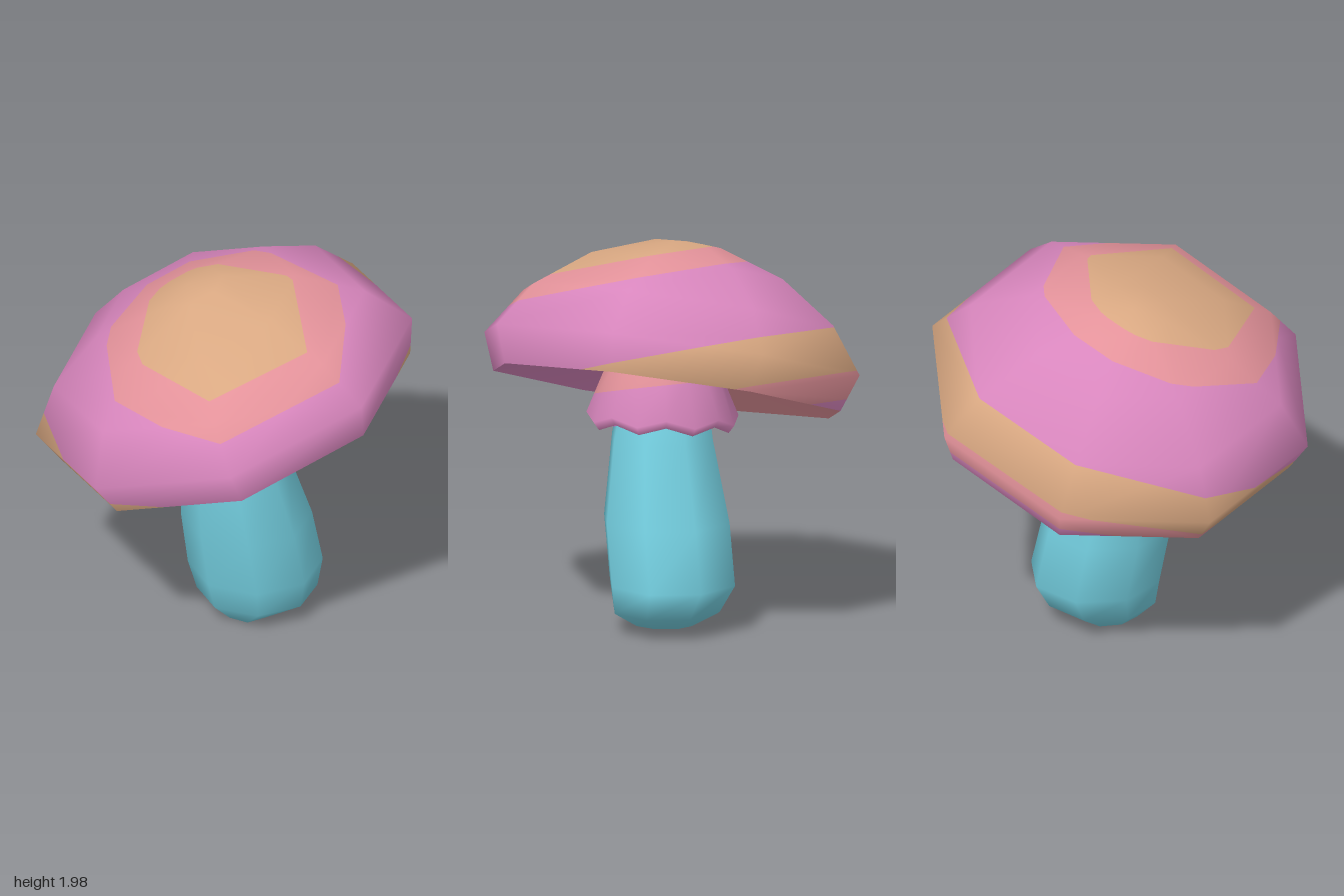
import * as THREE from 'three';
import { mergeVertices } from 'three/addons/utils/BufferGeometryUtils.js';

const flat = (name, color) => {
  const m = new THREE.MeshStandardMaterial({ color, side: THREE.DoubleSide });
  m.name = name;
  return m;
};

// One ring of points; y may vary with the angle
function ring(n, start, cx, cy, cz, rx, rz = rx) {
  return Array.from({ length: n }, (_, i) => {
    const a = start + (i / n) * Math.PI * 2;
    return new THREE.Vector3(cx + rx * Math.cos(a), cy, cz + rz * Math.sin(a));
  });
}

// Smooth skin over rings, outward when the rings run from bottom to top
function loft(rings) {
  const n = rings[0].length;
  const pos = rings.flat().flatMap((p) => [p.x, p.y, p.z]);
  const index = [];
  for (let r = 0; r < rings.length - 1; r++) {
    for (let i = 0; i < n; i++) {
      const a = r * n + i, b = r * n + ((i + 1) % n);
      index.push(a, a + n, b, b, a + n, b + n);
    }
  }
  let geo = new THREE.BufferGeometry();
  geo.setAttribute('position', new THREE.Float32BufferAttribute(pos, 3));
  geo.setIndex(index);
  geo = mergeVertices(geo, 1e-4);
  geo.computeVertexNormals();
  return geo.toNonIndexed();
}

// Keep the part of a polygon where sign * (v - limit) >= 0
function clip(poly, limit, sign) {
  const out = [];
  poly.forEach((a, i) => {
    const b = poly[(i + 1) % poly.length];
    const da = sign * (a.v - limit), db = sign * (b.v - limit);
    if (da >= 0) out.push(a);
    if (da >= 0 !== db >= 0) {
      const t = da / (da - db);
      out.push({ p: a.p.clone().lerp(b.p, t), n: a.n.clone().lerp(b.n, t).normalize(), v: limit });
    }
  });
  return out;
}

// Cut a skin into colour bands along a direction: cuts descend, one more material than cuts
function bands(name, geo, dir, cuts, mats) {
  const group = new THREE.Group();
  group.name = name;
  const P = geo.attributes.position, N = geo.attributes.normal;
  mats.forEach((mat, k) => {
    const pos = [], nor = [];
    for (let i = 0; i < P.count; i += 3) {
      let poly = [0, 1, 2].map((j) => {
        const p = new THREE.Vector3().fromBufferAttribute(P, i + j);
        return { p, n: new THREE.Vector3().fromBufferAttribute(N, i + j), v: p.dot(dir) };
      });
      if (k > 0) poly = clip(poly, cuts[k - 1], -1);
      if (k < cuts.length) poly = clip(poly, cuts[k], 1);
      for (let j = 1; j < poly.length - 1; j++) {
        for (const q of [poly[0], poly[j], poly[j + 1]]) {
          pos.push(...q.p.toArray());
          nor.push(...q.n.toArray());
        }
      }
    }
    if (!pos.length) return;
    const g = new THREE.BufferGeometry();
    g.setAttribute('position', new THREE.Float32BufferAttribute(pos, 3));
    g.setAttribute('normal', new THREE.Float32BufferAttribute(nor, 3));
    const mesh = new THREE.Mesh(g, mat);
    mesh.name = `${name}Band${k + 1}`;
    group.add(mesh);
  });
  return group;
}

export function createModel() {
  const tan = flat('tan', 0xd9a882);
  const salmon = flat('salmon', 0xe3929a);
  const pink = flat('pink', 0xd886bd);
  const orchid = flat('orchid', 0xdb7fd9);
  const cyan = flat('cyan', 0x74cfe0);
  const model = new THREE.Group();
  model.name = 'mushroom';

  // Tilted eight-sided cap: profiles are [radius, height] about the cap axis
  const tilt = new THREE.Matrix4()
    .makeTranslation(0, 1.39, 0)
    .multiply(new THREE.Matrix4().makeRotationFromEuler(new THREE.Euler(-0.07, 0, 0.32, 'XYZ')));
  const capSkin = (profile) => {
    const geo = loft(profile.map(([r, h]) => ring(8, 0.113, 0, h, 0, r)));
    return geo.applyMatrix4(tilt);
  };
  const capTop = capSkin([[0.93, -0.19], [1.005, 0], [0.83, 0.235], [0.53, 0.44], [0.18, 0.56], [0, 0.575]]);
  const slant = new THREE.Vector3(-0.22, 1, 0.24);
  model.add(bands('capTop', capTop, slant, [1.91, 1.8, 1.37, 1.12, 0.98], [tan, salmon, pink, tan, salmon, pink]));

  // Hollow underside
  const capUnder = capSkin([[0, 0.07], [0.22, 0.05], [0.6, -0.05], [0.93, -0.19]]);
  model.add(bands('capUnderside', capUnder, new THREE.Vector3(0.6, 0, 1), [0.1, -0.3], [pink, tan, salmon]));

  // Leaning stem: [y, centre x, centre z, radius x, radius z]
  const stem = loft([
    [0, 0.11, 0.02, 0, 0],
    [0.01, 0.11, 0.02, 0.12, 0.15],
    [0.11, 0.17, -0.01, 0.3, 0.28],
    [0.25, 0.165, -0.04, 0.335, 0.33],
    [0.56, 0.115, 0, 0.325, 0.33],
    [0.97, 0.04, 0.04, 0.265, 0.265],
    [1.42, -0.03, 0.04, 0.19, 0.19],
  ].map(([y, cx, cz, rx, rz]) => ring(8, 0.113, cx, y, cz, rx * 1.02, rz * 1.02)));
  model.add(bands('stem', stem, new THREE.Vector3(-0.22, 1, 0.15), [1.04], [orchid, cyan]));

  // Flared skirt with a ragged hem
  const hem = (cy, r, tooth) => ring(16, 0.113, 0.02, cy, 0.045, r).map((p, i) => {
    p.y += 0.13 * p.x + (i % 2 ? tooth : -tooth);
    return p;
  });
  const skirt = loft([
    hem(1.02, 0.355, 0.02),
    hem(1.06, 0.385, 0.02),
    hem(1.3, 0.295, 0),
    ring(16, 0.113, 0, 1.46, 0.04, 0.24),
    ring(16, 0.113, 0, 1.54, 0.04, 0.15),
  ]);
  model.add(bands('skirt', skirt, new THREE.Vector3(-0.22, 1, 0.16), [1.225], [salmon, pink]));

  return model;
}
